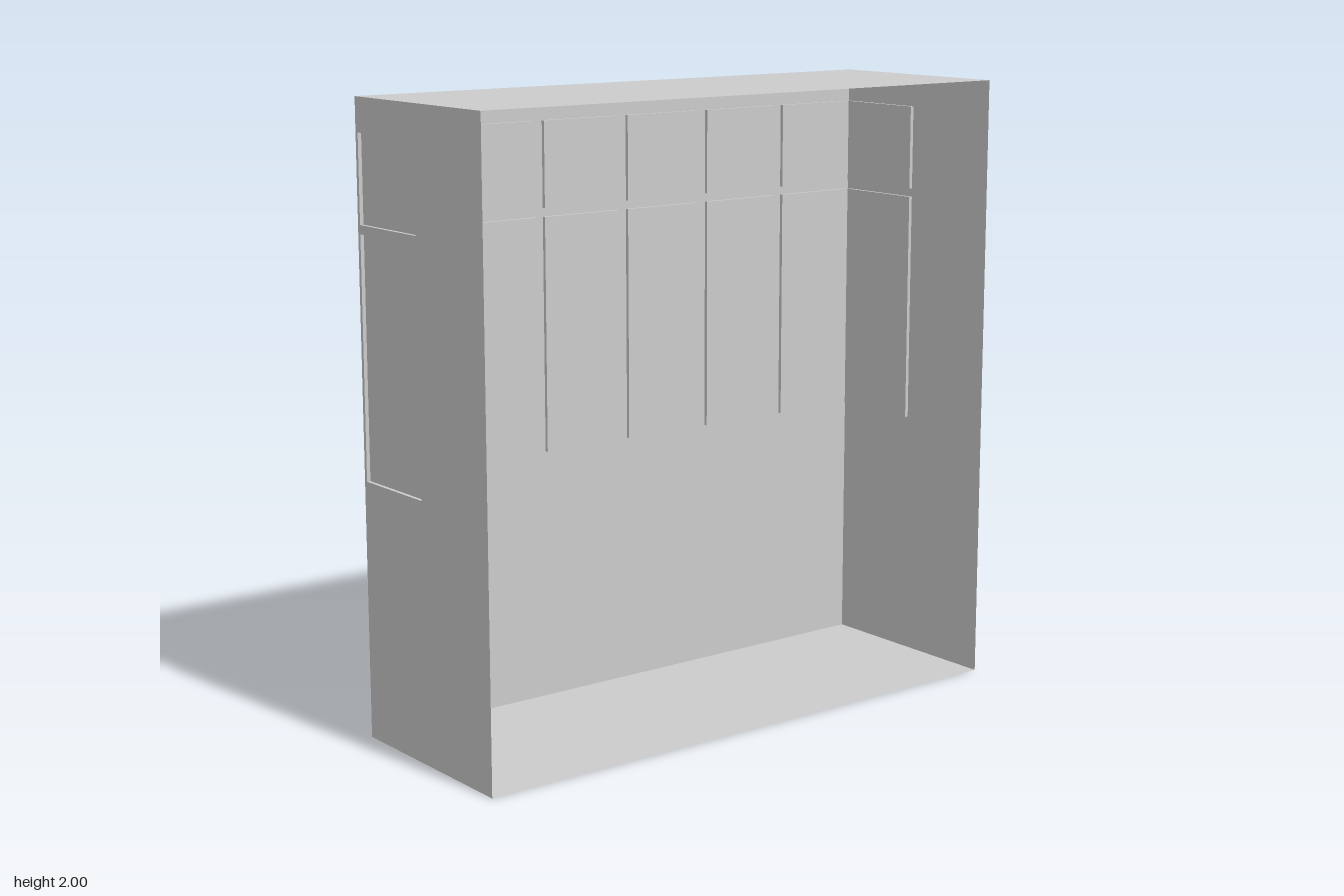
import * as THREE from 'three';

const W = 0.68, H = 2, D = 1.97;      // overall width, height, depth
const RECESS = 0.012;                 // how far panes sit behind the wall face
const ROWS = [[0.825, 1.588], [1.616, 1.893]]; // bottom and top of each pane row

const material = new THREE.MeshStandardMaterial({ color: 0xcccccc, side: THREE.DoubleSide });

function add(parent, name, geometry) {
  const mesh = new THREE.Mesh(geometry, material);
  mesh.name = name;
  parent.add(mesh);
  return mesh;
}

function rect(Type, x0, y0, x1, y1) {
  return new Type([[x0, y0], [x1, y0], [x1, y1], [x0, y1]].map(p => new THREE.Vector2(...p)));
}

// Shallow tray open on +z: a box without its front face
function trayGeometry(w, h) {
  const box = new THREE.BoxGeometry(w, h, RECESS);
  const index = Array.from(box.index.array);
  index.splice(24, 6);
  box.setIndex(index);
  box.clearGroups();
  return box;
}

// Wall facing local +z, with two rows of recessed panes at the given x spans
function makeWall(name, width, spans) {
  const wall = new THREE.Group();
  wall.name = name;
  const shape = rect(THREE.Shape, -width / 2, 0, width / 2, H);
  for (const [x0, x1] of spans) {
    for (const [y0, y1] of ROWS) {
      shape.holes.push(rect(THREE.Path, x0, y0, x1, y1));
      add(wall, 'recessedPane', trayGeometry(x1 - x0, y1 - y0))
        .position.set((x0 + x1) / 2, (y0 + y1) / 2, -RECESS / 2);
    }
  }
  add(wall, 'wallPanel', new THREE.ShapeGeometry(shape));
  return wall;
}

export function createModel() {
  const model = new THREE.Group();
  model.name = 'windowedBay';

  // End walls: one column of panes next to the windowed long side
  const front = makeWall('frontWall', W, [[-0.328, -0.015]]);
  front.position.z = D / 2;
  const back = makeWall('backWall', W, [[0.015, 0.328]]);
  back.position.z = -D / 2;
  back.rotation.y = Math.PI;

  // Long wall on -x: six columns; the opposite side stays open
  const columns = [];
  for (let i = 0; i < 6; i++) {
    const c = (i - 2.5) * 0.3286;
    columns.push([c - 0.147, c + 0.147]);
  }
  const side = makeWall('sideWall', D, columns);
  side.position.x = -W / 2;
  side.rotation.y = -Math.PI / 2;
  model.add(front, back, side);

  // Floor and roof sheets
  for (const [name, y, turn] of [['floor', 0, 1], ['roof', H, -1]]) {
    const sheet = add(model, name, new THREE.PlaneGeometry(W, D));
    sheet.rotation.x = turn * Math.PI / 2;
    sheet.position.y = y;
  }
  return model;
}
